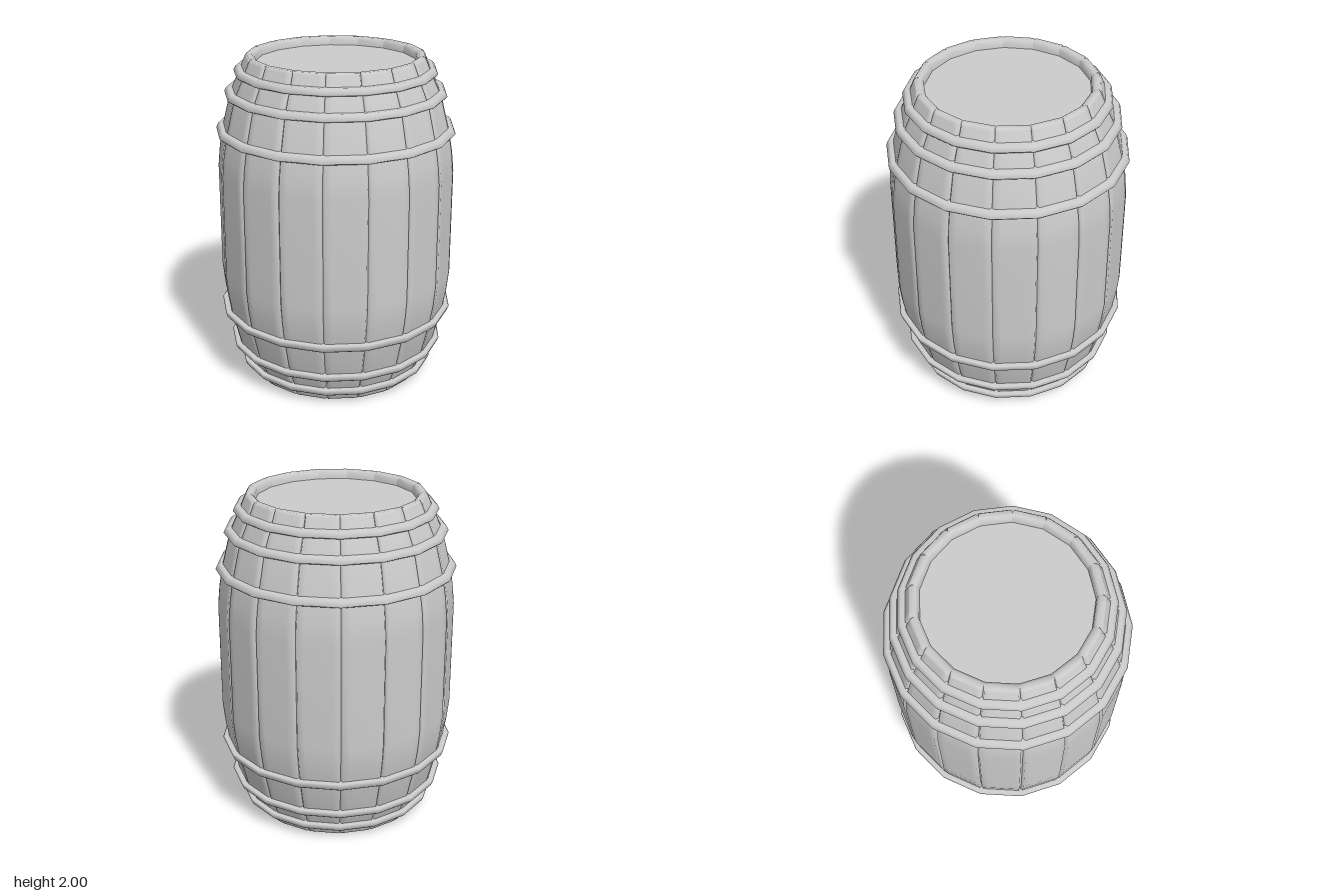
import * as THREE from 'three';

const SIDES = 17;
const STEP = (Math.PI * 2) / SIDES;
const START = Math.PI; // first stave joint sits at the back
const material = new THREE.MeshStandardMaterial({ color: 0xcccccc, side: THREE.DoubleSide });

// Upper half of the stave profile: radius, height, joint depth
const HALF = [
  [0.475, 1.95, 0], [0.478, 1.985, 0], [0.495, 2, 0], [0.525, 2, 0.012], [0.535, 1.985, 0.02],
  [0.57, 1.9, 0.02], [0.625, 1.78, 0.02], [0.68, 1.56, 0.02], [0.7, 1.44, 0.02], [0.712, 1.32, 0.02],
];
const PROFILE = [...HALF, ...HALF.map(([r, y, d]) => [r, 2 - y, d]).reverse()];

// One flat-faced plank with small V-shaped bevels along both edges
function staveGeometry() {
  const columns = [0, 0.05, 0.2, 0.8, 0.95, 1];
  const positions = [];
  const index = [];
  PROFILE.forEach(([r, y, depth], row) => {
    columns.forEach((t, col) => {
      const edge = t === 0 || t === 1;
      const rr = edge ? r - depth : r;
      const x = rr * Math.sin(STEP / 2) * (2 * t - 1);
      positions.push(x, y, rr * Math.cos(STEP / 2));
      if (row < PROFILE.length - 1 && col < columns.length - 1) {
        const a = row * columns.length + col;
        const b = a + columns.length;
        index.push(a, b, b + 1, a, b + 1, a + 1);
      }
    });
  });
  const geometry = new THREE.BufferGeometry();
  geometry.setAttribute('position', new THREE.Float32BufferAttribute(positions, 3));
  geometry.setIndex(index);
  geometry.computeVertexNormals();
  return geometry;
}

// Bevelled band, tilted to follow the taper of the barrel
function hoopGeometry(radius, low, high, flip) {
  const top = radius - 0.014;
  const inner = radius - 0.05;
  const points = [
    [inner, low], [radius - 0.008, low], [radius, low + 0.01],
    [top + 0.004, high - 0.01], [top - 0.008, high], [inner - 0.01, high],
  ].map(([r, y]) => new THREE.Vector2(r, flip ? low + high - y : y));
  if (flip) points.reverse();
  return new THREE.LatheGeometry(points, SIDES, START);
}

export function createModel() {
  const barrel = new THREE.Group();
  barrel.name = 'barrel';
  const add = (geometry, name, parent = barrel) => {
    const mesh = new THREE.Mesh(geometry, material);
    mesh.name = name;
    parent.add(mesh);
    return mesh;
  };

  // Staves
  const staves = new THREE.Group();
  staves.name = 'staves';
  barrel.add(staves);
  const plank = staveGeometry();
  for (let i = 0; i < SIDES; i++) {
    add(plank, 'stave', staves).rotation.y = START + (i + 0.5) * STEP;
  }

  // Recessed lids at both ends
  for (const [name, y] of [['topHead', 1.935], ['bottomHead', 0.065]]) {
    add(new THREE.CylinderGeometry(0.477, 0.477, 0.03, SIDES, 1, false, START), name).position.y = y;
  }

  // Hoops: radius, lower edge, upper edge, wider at the top
  const hoops = new THREE.Group();
  hoops.name = 'hoops';
  barrel.add(hoops);
  const bands = [
    [0.602, 1.89, 1.932, false], [0.66, 1.762, 1.804, false], [0.716, 1.54, 1.584, false],
    [0.716, 0.402, 0.448, true], [0.66, 0.18, 0.223, true], [0.602, 0.054, 0.097, true],
  ];
  for (const band of bands) add(hoopGeometry(...band), 'hoop', hoops);

  return barrel;
}
